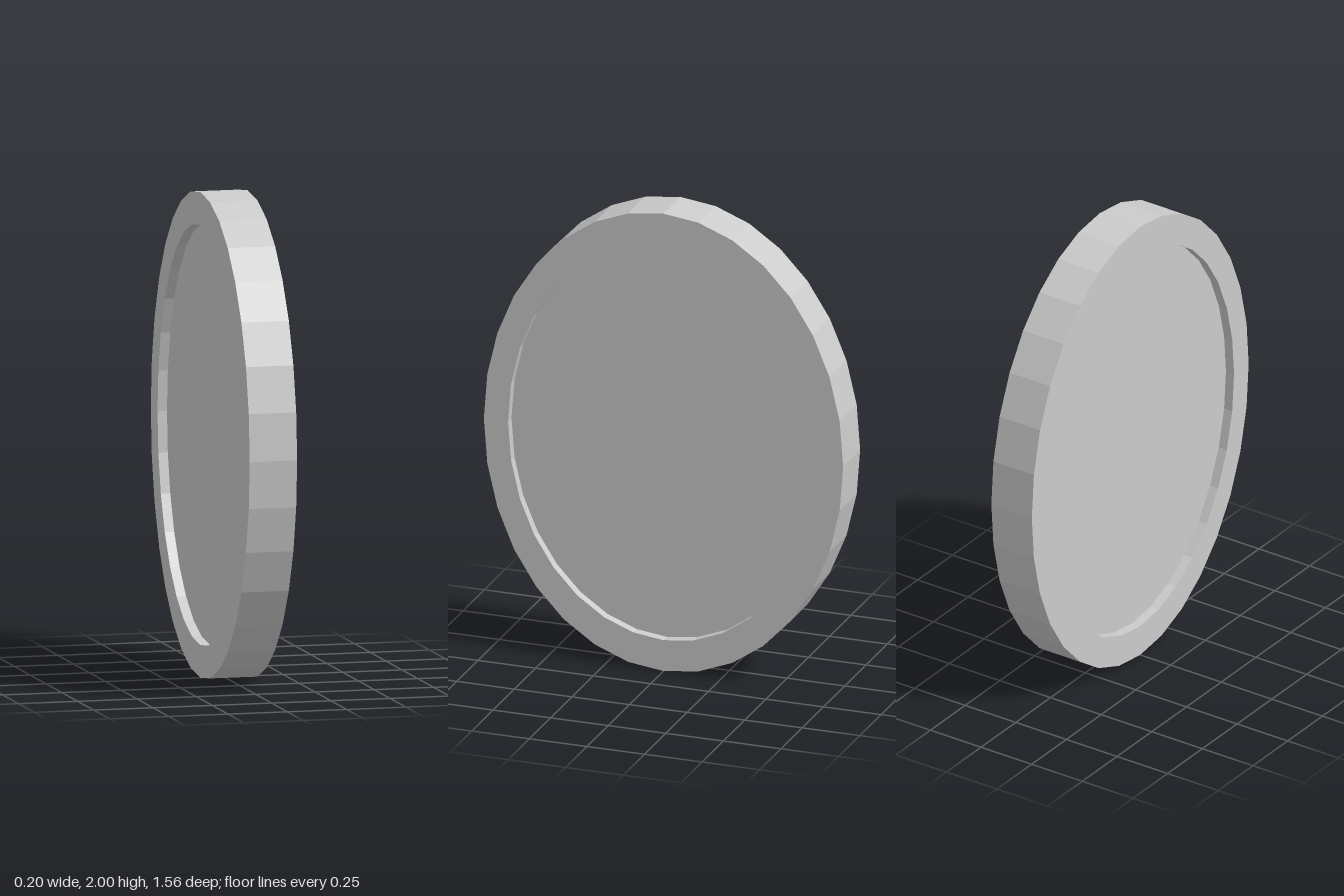
import * as THREE from 'three';

const SIDES = 32;
const HALF = 0.1;      // half thickness of the rim
const DEPTH = 0.04;    // recess depth on each face
const INNER = 0.865;   // recess radius before flattening
const SQUASH = 0.78;   // turns the circle into an upright oval

export function createModel() {
  const group = new THREE.Group();
  group.name = 'ovalDisc';
  const material = new THREE.MeshStandardMaterial({ color: 0xcccccc, flatShading: true });

  const add = (name, geometry) => {
    geometry.scale(1, 1, SQUASH).translate(0, 1, 0);
    const mesh = new THREE.Mesh(geometry, material);
    mesh.name = name;
    group.add(mesh);
  };

  // Raised rim: recess wall, face and outer edge, turned about the x axis
  const floor = HALF - DEPTH;
  const profile = [
    [INNER, -floor], [INNER, -HALF], [1, -HALF],
    [1, HALF], [INNER, HALF], [INNER, floor],
  ].map(([r, h]) => new THREE.Vector2(r, h));
  add('rim', new THREE.LatheGeometry(profile, SIDES).rotateZ(-Math.PI / 2));

  // Recessed panel on each side
  for (const [name, s] of [['leftPanel', 1], ['rightPanel', -1]]) {
    add(name, new THREE.CircleGeometry(INNER, SIDES)
      .rotateY(s * Math.PI / 2)
      .translate(s * floor, 0, 0));
  }
  return group;
}
